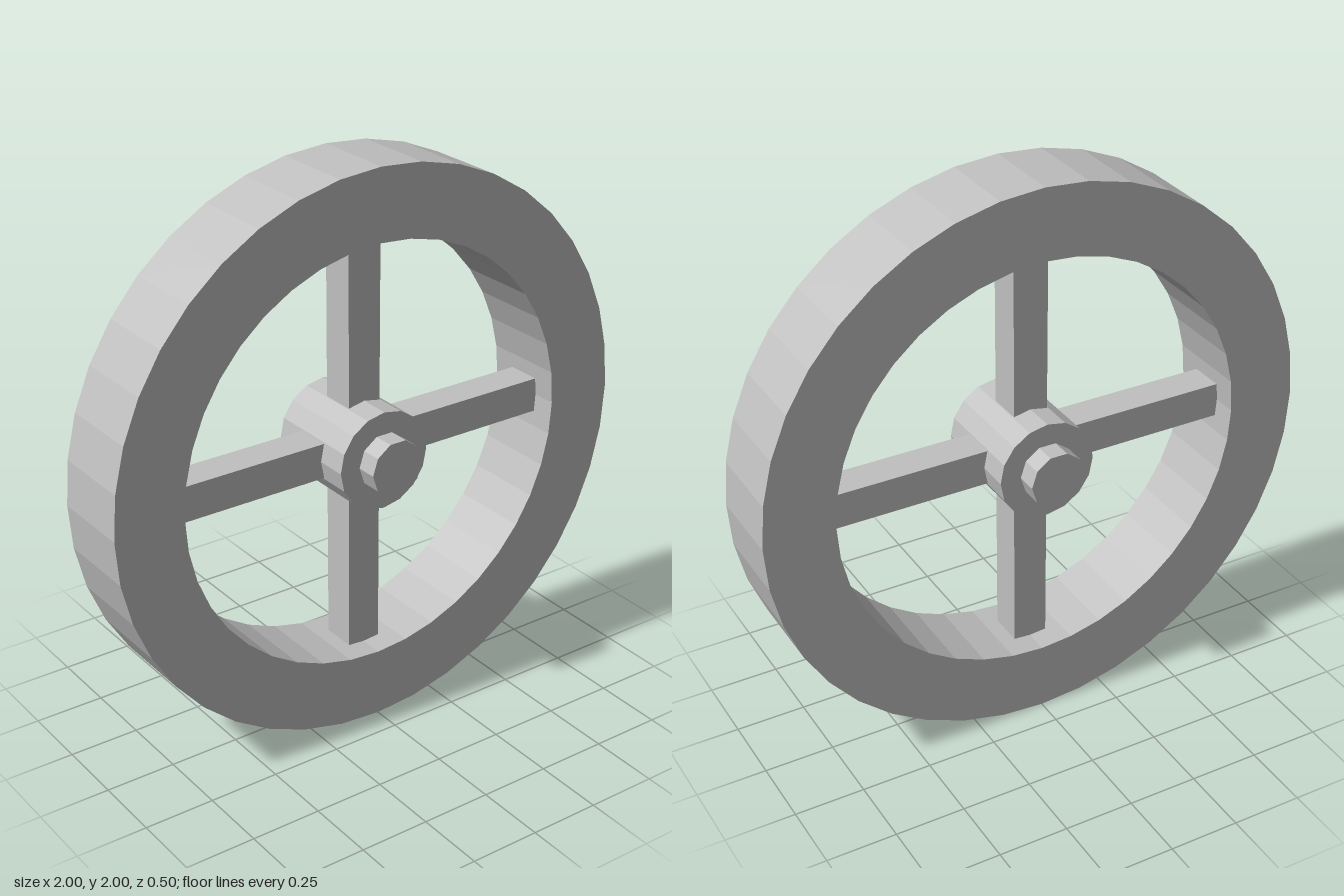
import * as THREE from 'three';

const RIM_SIDES = 40;

// Regular polygon points with a corner on the x axis
function ring(radius, sides) {
  return Array.from({ length: sides }, (_, i) => {
    const a = (i / sides) * Math.PI * 2;
    return new THREE.Vector2(radius * Math.cos(a), radius * Math.sin(a));
  });
}

// Faceted prism lying along z, centred on the origin
function prism(radius, sides, depth, holeRadius = 0) {
  const shape = new THREE.Shape(ring(radius, sides));
  if (holeRadius) shape.holes.push(new THREE.Path(ring(holeRadius, sides).reverse()));
  const geometry = new THREE.ExtrudeGeometry(shape, { depth, bevelEnabled: false });
  return geometry.translate(0, 0, -depth / 2);
}

export function createModel() {
  const group = new THREE.Group();
  group.name = 'wheel';
  const grey = new THREE.MeshStandardMaterial({ color: 0xc0c0c0 });
  grey.name = 'light grey';

  const add = (name, geometry) => {
    const mesh = new THREE.Mesh(geometry, grey);
    mesh.name = name;
    mesh.position.y = 1;
    group.add(mesh);
    return mesh;
  };

  // Broad outer rim
  add('rim', prism(1, RIM_SIDES, 0.3, 0.75));

  // Hub with the axle passing through it
  add('hub', prism(0.175, 16, 0.35));
  add('axle', prism(0.1, 10, 0.5));

  // Four square spokes, from inside the hub to the rim
  for (let i = 0; i < 4; i++) {
    const spoke = add('spoke', new THREE.BoxGeometry(0.65, 0.125, 0.125).translate(0.425, 0, 0));
    spoke.rotation.z = (i * Math.PI) / 2;
  }

  return group;
}
